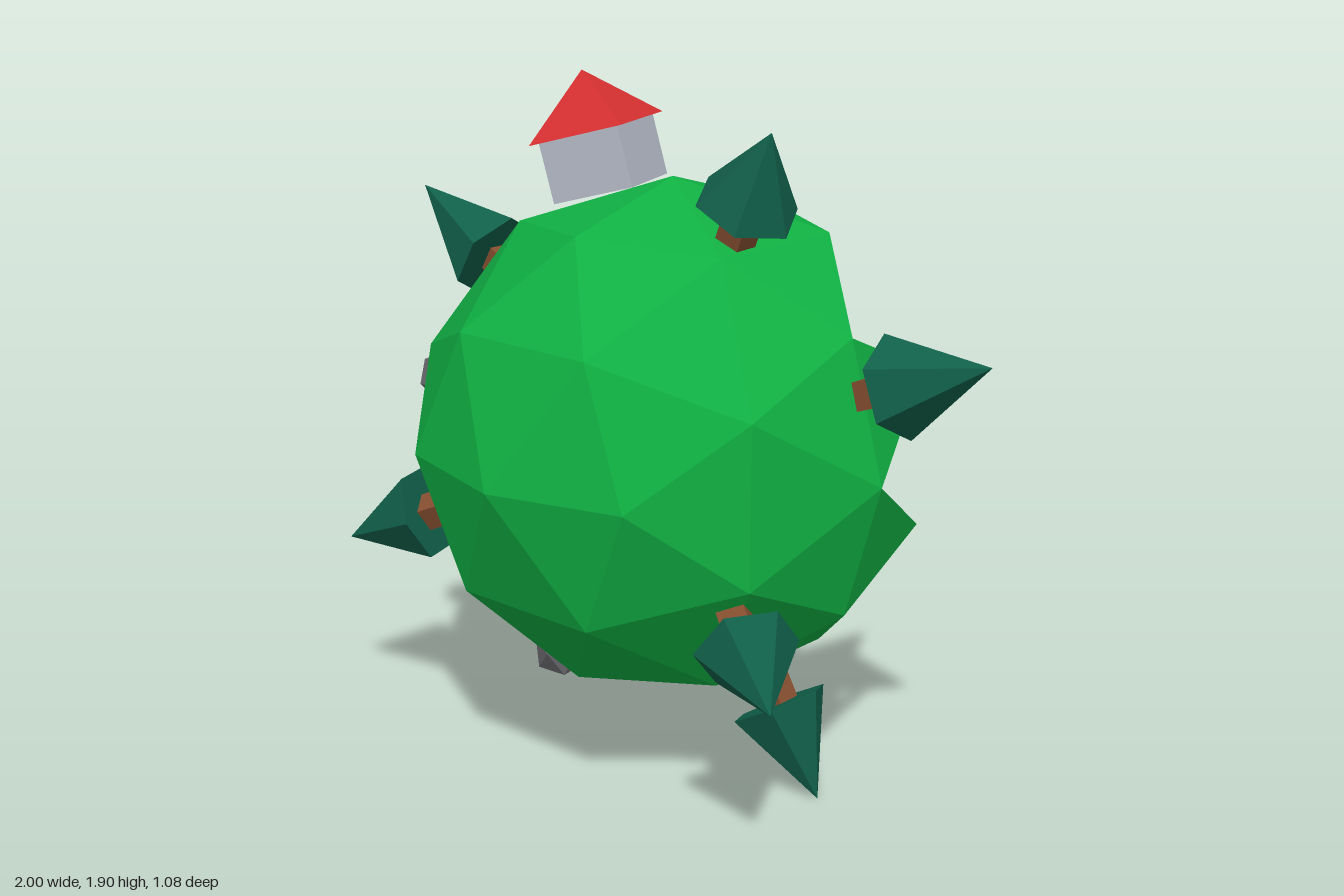
import * as THREE from 'three';

const CENTER = new THREE.Vector3(-0.015, 0.94, -0.15);
const RADIUS = 0.71;
const UP = new THREE.Vector3(0, 1, 0);

function material(name, color, side = THREE.FrontSide) {
  const m = new THREE.MeshStandardMaterial({ color, flatShading: true, side });
  m.name = name;
  return m;
}

function part(name, geometry, mat, y = 0) {
  const mesh = new THREE.Mesh(geometry, mat);
  mesh.name = name;
  mesh.position.y = y;
  return mesh;
}

// Low-poly globe, open at the back with a jagged rim
function globeGeometry() {
  const ball = new THREE.IcosahedronGeometry(1, 1).rotateY(Math.PI / 2);
  const p = ball.attributes.position.array;
  const kept = [];
  for (let i = 0; i < p.length; i += 9) {
    const y = (p[i + 1] + p[i + 4] + p[i + 7]) / 3;
    const z = (p[i + 2] + p[i + 5] + p[i + 8]) / 3;
    if (z > -0.2 || (Math.abs(y) > 0.8 && z > -0.35)) kept.push(...p.slice(i, i + 9));
  }
  const geometry = new THREE.BufferGeometry();
  geometry.setAttribute('position', new THREE.Float32BufferAttribute(kept, 3));
  geometry.scale(RADIUS, RADIUS, RADIUS);
  geometry.computeVertexNormals();
  return geometry;
}

// Group at the globe's centre whose y axis points outwards along a direction
function radialGroup(name, direction) {
  const group = new THREE.Group();
  group.name = name;
  group.position.copy(CENTER);
  group.quaternion.setFromUnitVectors(UP, new THREE.Vector3(...direction).normalize());
  return group;
}

export function createModel() {
  const model = new THREE.Group();
  model.name = 'tinyPlanet';
  const grass = material('grass green', 0x10b043, THREE.DoubleSide);
  const leaves = material('fir green', 0x11604a);
  const bark = material('bark brown', 0x864f30);
  const stone = material('stone grey', 0x67676c);
  const wall = material('wall grey', 0xb5bac6);
  const roofRed = material('roof red', 0xd63031);

  const globe = part('globe', globeGeometry(), grass);
  globe.position.copy(CENTER);
  model.add(globe);

  // Fir trees: direction to the tip, and distance of the tip from the centre
  const trees = [
    [[-0.985, 0.56, -0.01], 1.133],
    [[1.015, 0.37, -0.01], 1.08],
    [[0.465, 0.895, 0.165], 1.022],
    [[0.765, -0.445, 0.5], 1.016],
    [[-0.87, -0.4, 0.42], 1.046],
    [[0.525, -0.93, -0.01], 1.068],
  ];
  const base = 0.79;
  for (const [direction, tip] of trees) {
    const tree = radialGroup('tree', direction);
    const height = tip - base;
    const cone = new THREE.ConeGeometry(0.138, height, 6).rotateY(Math.PI / 6);
    tree.add(part('trunk', new THREE.BoxGeometry(0.075, 0.19, 0.075), bark, 0.705));
    tree.add(part('foliage', cone, leaves, base + height / 2));
    model.add(tree);
  }

  // Cottage with a pyramid roof
  const house = radialGroup('house', [-0.255, 0.96, 0.075]);
  const turned = new THREE.Group();
  turned.name = 'cottage';
  turned.rotation.y = 0.33;
  const roof = new THREE.ConeGeometry(0.195, 0.16, 4).rotateY(Math.PI / 4);
  turned.add(part('walls', new THREE.BoxGeometry(0.235, 0.17, 0.235), wall, 0.77));
  turned.add(part('roof', roof, roofRed, 0.93));
  house.add(turned);
  model.add(house);

  // Boulders
  for (const [direction, distance] of [[[-0.72, 0.06, 0.17], 0.742], [[-0.255, -0.655, 0.18], 0.725]]) {
    const boulder = radialGroup('boulder', direction);
    boulder.add(part('rock', new THREE.IcosahedronGeometry(0.08, 0), stone, distance));
    model.add(boulder);
  }
  return model;
}
